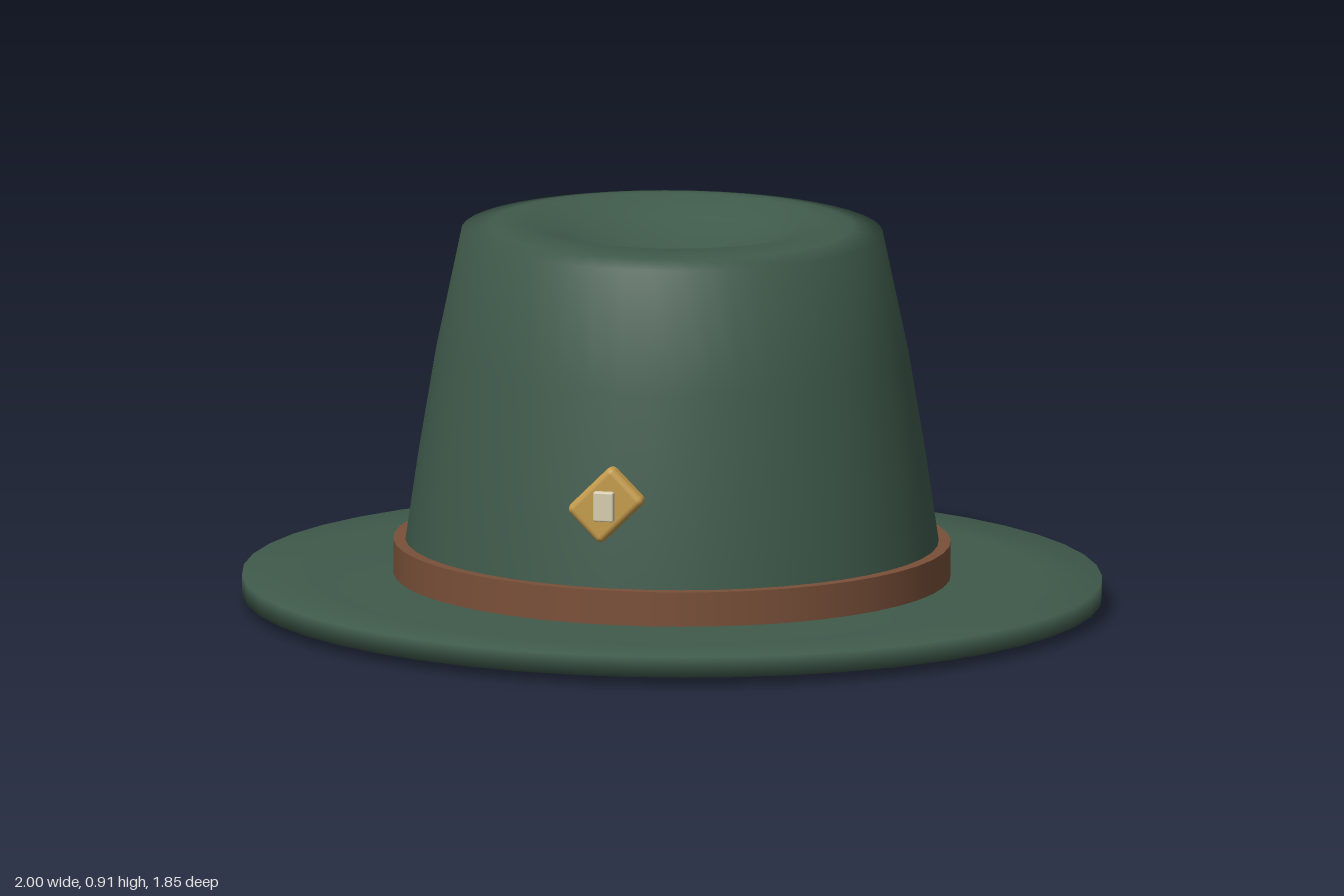
import * as THREE from 'three';
import { RoundedBoxGeometry } from 'three/addons/geometries/RoundedBoxGeometry.js';

const DEPTH = 0.927; // the hat is slightly narrower front to back

const material = (color, side = THREE.FrontSide) => new THREE.MeshStandardMaterial({ color, side });

// Oval part turned from a radius/height profile
function turned(name, profile, mat) {
  const points = profile.map(([r, y]) => new THREE.Vector2(r, y));
  const mesh = new THREE.Mesh(new THREE.LatheGeometry(points, 48), mat);
  mesh.name = name;
  mesh.scale.z = DEPTH;
  return mesh;
}

export function createModel() {
  const hat = new THREE.Group();
  hat.name = 'hat';
  const felt = material(0x3f5a4b, THREE.DoubleSide);
  const leather = material(0x7a5039, THREE.DoubleSide);
  const gold = material(0xc49b4c);
  const pale = material(0xd6ceb0);

  // Crown: open below, tapering to a rim, with a dished top
  hat.add(turned('crown', [
    [0.63, 0.03], [0.62, 0.155], [0.59, 0.36], [0.55, 0.6], [0.49, 0.885],
    [0.42, 0.898], [0.34, 0.908], [0.25, 0.87], [0.14, 0.835], [0, 0.82],
  ], felt));

  // Brim: flat ring with a shallow lip under the opening
  hat.add(turned('brim', [
    [0.6, 0.06], [0.6, 0], [0.63, 0], [0.64, 0.012], [0.72, 0.018], [0.85, 0.02],
    [1, 0.022], [1, 0.07], [0.85, 0.07], [0.68, 0.072], [0.62, 0.076],
  ], felt));

  // Band: sharp-edged strip around the foot of the crown
  hat.add(turned('band', [
    [0.626, 0.07], [0.648, 0.07], [0.648, 0.07], [0.648, 0.155],
    [0.648, 0.155], [0.619, 0.155],
  ], leather));

  // Badge: tilted plate with a small upright inset
  const badge = new THREE.Group();
  badge.name = 'badge';
  badge.position.set(0, 0.362, 0.614);
  const plate = new THREE.Mesh(new RoundedBoxGeometry(0.152, 0.116, 0.044, 3, 0.015), gold);
  plate.name = 'badgePlate';
  plate.rotation.z = Math.PI / 4;
  const inset = new THREE.Mesh(new RoundedBoxGeometry(0.048, 0.07, 0.02, 2, 0.004), pale);
  inset.name = 'badgeInset';
  inset.position.z = 0.027;
  badge.add(plate, inset);
  hat.add(badge);

  return hat;
}
